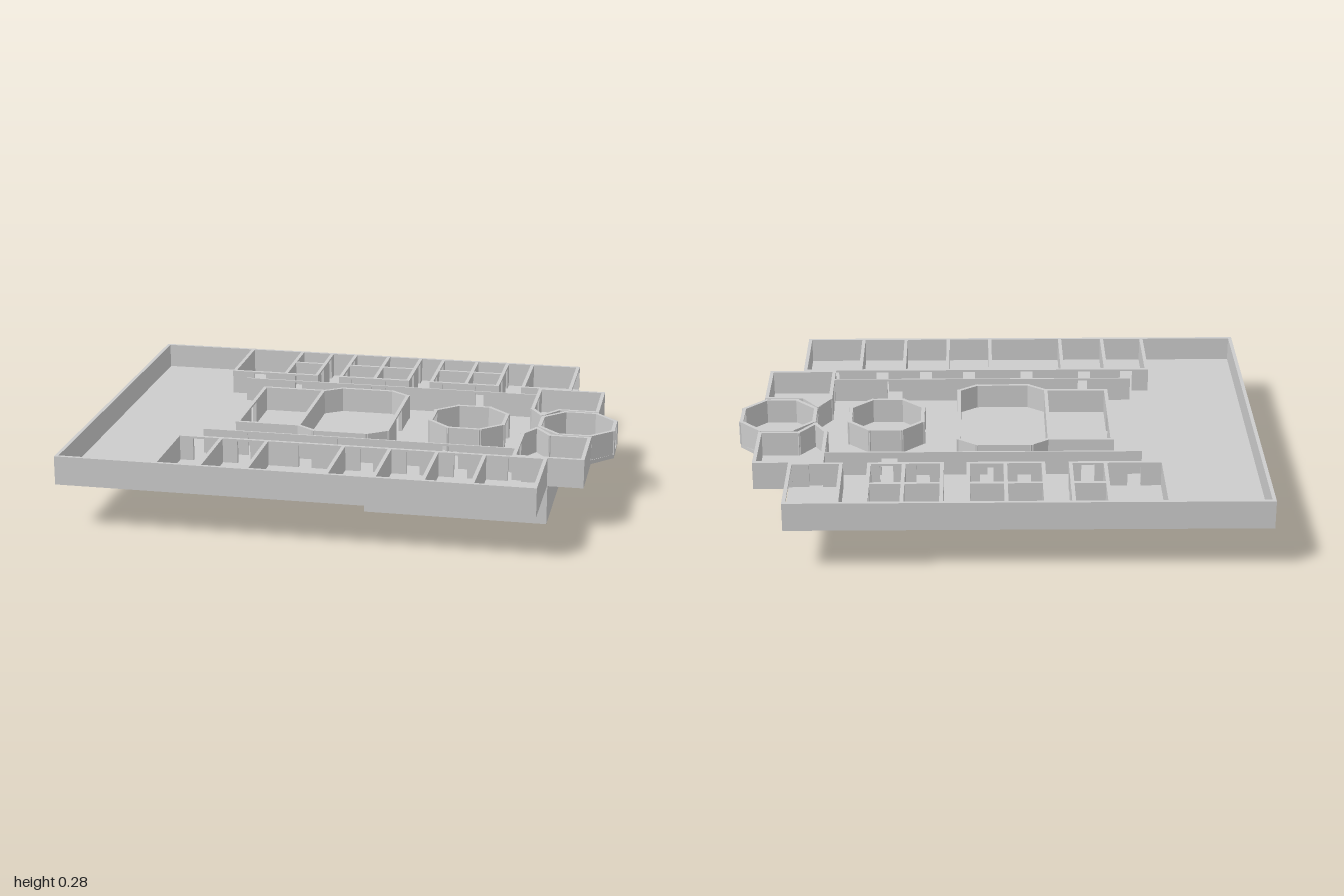
import * as THREE from 'three';

const BASE = 0.175, FLOOR = 0.19, TOP = 0.285, LINTEL = 0.277, T = 0.014;
const mat = new THREE.MeshStandardMaterial({ color: 0xcccccc, flatShading: true });

export function createModel() {
  const model = new THREE.Group();
  const group = (name) => {
    const g = new THREE.Group();
    g.name = name;
    model.add(g);
    return g;
  };

  // Axis-aligned block from its limits
  function block(parent, name, x0, x1, y0, y1, z0, z1) {
    const m = new THREE.Mesh(new THREE.BoxGeometry(x1 - x0, y1 - y0, z1 - z0), mat);
    m.position.set((x0 + x1) / 2, (y0 + y1) / 2, (z0 + z1) / 2);
    m.name = name;
    parent.add(m);
  }

  // Straight wall between two plan points; openings are [centre distance, width]
  function wall(parent, a, b, openings = [], t = T) {
    const dx = b[0] - a[0], dz = b[1] - a[1], len = Math.hypot(dx, dz);
    const w = new THREE.Group();
    w.name = 'wall';
    w.position.set(a[0], 0, a[1]);
    w.rotation.y = -Math.atan2(dz, dx);
    let s = -t / 2;
    for (const [c, width] of openings) {
      block(w, 'wallPanel', s, c - width / 2, FLOOR, TOP, -t / 2, t / 2);
      s = c + width / 2;
      block(w, 'lintel', c - width / 2, s, LINTEL, TOP, -t / 2, t / 2);
    }
    block(w, 'wallPanel', s, len + t / 2, FLOOR, TOP, -t / 2, t / 2);
    parent.add(w);
  }

  // Closed ring of walls; doors maps a side index to its opening width
  function ring(parent, pts, doors = {}) {
    pts.forEach((a, i) => {
      const b = pts[(i + 1) % pts.length];
      const len = Math.hypot(b[0] - a[0], b[1] - a[1]);
      wall(parent, a, b, doors[i] ? [[len / 2, doors[i]]] : []);
    });
  }

  // Rectangle with cut corners, starting with its left side
  const cutRect = (x0, x1, z, cx, cz) => [
    [x0, z - cz], [x0, cz - z], [x0 + cx, -z], [x1 - cx, -z],
    [x1, cz - z], [x1, z - cz], [x1 - cx, z], [x0 + cx, z],
  ];

  function slab(name, pts, y0, y1, holes = []) {
    const v = (list) => list.map(([x, z]) => new THREE.Vector2(x, -z));
    const shape = new THREE.Shape(v(pts));
    for (const h of holes) shape.holes.push(new THREE.Path(v(h)));
    const geo = new THREE.ExtrudeGeometry(shape, { depth: y1 - y0, bevelEnabled: false });
    geo.rotateX(-Math.PI / 2);
    const m = new THREE.Mesh(geo, mat);
    m.position.y = y0;
    m.name = name;
    model.add(m);
  }
  const rect = (x0, x1, z0, z1) => [[x0, z0], [x1, z0], [x1, z1], [x0, z1]];

  // Main floor with the two stairwells
  const half = [[-1, 0.76], [0.785, 0.76], [0.785, 0.425], [0.92, 0.425],
    [0.92, 0.148], [1, 0.062]];
  const outline = [...half, ...half.map(([x, z]) => [x, -z]).reverse()];
  slab('floor', outline, BASE, FLOOR,
    [-1, 1].map((s) => rect(0.365, 0.5, s * 0.15, s * 0.2)));

  // Hollow basement
  slab('basementWalls', rect(0.085, 0.78, -0.36, 0.36), 0, BASE,
    [rect(0.1, 0.765, -0.345, 0.345)]);
  block(model, 'basementFloor', 0.085, 0.78, 0, 0.014, -0.36, 0.36);

  // Stairs down to the basement
  const stairs = group('stairs');
  for (const s of [-1, 1]) {
    for (let i = 0; i < 8; i++) {
      const x = 0.365 + i * 0.0169;
      block(stairs, 'step', x, x + 0.0169, 0.014, FLOOR - (i + 1) * 0.02,
        s * 0.175 - 0.025, s * 0.175 + 0.025);
    }
  }

  // Outer walls
  const outer = group('outerWalls'), E = 0.753, X = 0.778;
  wall(outer, [-0.993, -E], [-0.993, E]);
  for (const s of [-1, 1]) wall(outer, [-0.993, s * E], [X, s * E]);
  wall(outer, [X, 0.432], [X, E]);
  wall(outer, [X, -E], [X, -0.432], [[0.16, 0.305]]);

  // Front row of rooms, each with a door to the corridor
  const front = group('frontRooms'), C = 0.432;
  const fx = [-0.617, -0.45, -0.273, 0.022, 0.197, 0.375, 0.553, X];
  for (const x of fx.slice(0, -1)) wall(front, [x, C], [x, E]);
  for (let i = 0; i < fx.length - 1; i++) {
    wall(front, [fx[i], C], [fx[i + 1], C], [[(fx[i + 1] - fx[i]) / 2, 0.05]]);
  }

  // Back row: closed blocks separated by passages, the middle ones split in two
  const back = group('backRooms');
  const blocks = [[-0.617, -0.4, -0.27], [-0.168, -0.026, 0.112],
    [0.21, 0.353, 0.482], [0.587, X]];
  blocks.forEach((xs, k) => {
    xs.forEach((x, i) => {
      if (x === X) return;
      const passage = k < 3 && (i === 2 || (i === 0 && k > 0));
      wall(back, [x, -E], [x, -C], passage ? [[0.08, 0.05], [0.24, 0.05]] : []);
      if (i < xs.length - 1) {
        const w = xs[i + 1] - x;
        wall(back, [x, -C], [xs[i + 1], -C], [[w / 2, 0.05]]);
        if (k < 3 && !(k === 0 && i === 0)) wall(back, [x, -0.598], [xs[i + 1], -0.598]);
      }
    });
  });

  // Long corridor partitions
  const corridor = group('corridorPartitions');
  for (const s of [-1, 1]) {
    wall(corridor, [-0.54, s * 0.338], [0.652, s * 0.338],
      [[0.2, 0.06], [0.55, 0.06], [0.95, 0.06]], 0.007);
  }

  // Central hall with its side room
  const hall = group('centralHall');
  ring(hall, cutRect(-0.198, 0.148, 0.275, 0.07, 0.05), { 5: 0 , 4: 0.12 });
  wall(hall, [-0.198, -0.23], [-0.438, -0.23]);
  wall(hall, [-0.438, -0.23], [-0.438, 0.225], [[0.228, 0.08]]);
  wall(hall, [-0.438, 0.225], [-0.198, 0.225]);

  // Octagonal room between the stairs
  ring(group('octagonRoom'), cutRect(0.29, 0.572, 0.14, 0.08, 0.075), { 0: 0.1, 4: 0.1 });

  // Entrance octagon, open at its outer and inner sides
  ring(group('entranceOctagon'), cutRect(0.712, 0.993, 0.14, 0.08, 0.08),
    { 0: 0.09, 4: 0.095 });

  // Rooms flanking the entrance
  const flank = group('entranceRooms');
  for (const s of [-1, 1]) {
    ring(flank, [[0.66, s * 0.418], [0.913, s * 0.418], [0.913, s * 0.16],
      [0.765, s * 0.16], [0.705, s * 0.08], [0.66, s * 0.155]], { 5: 0.06 });
  }
  return model;
}
